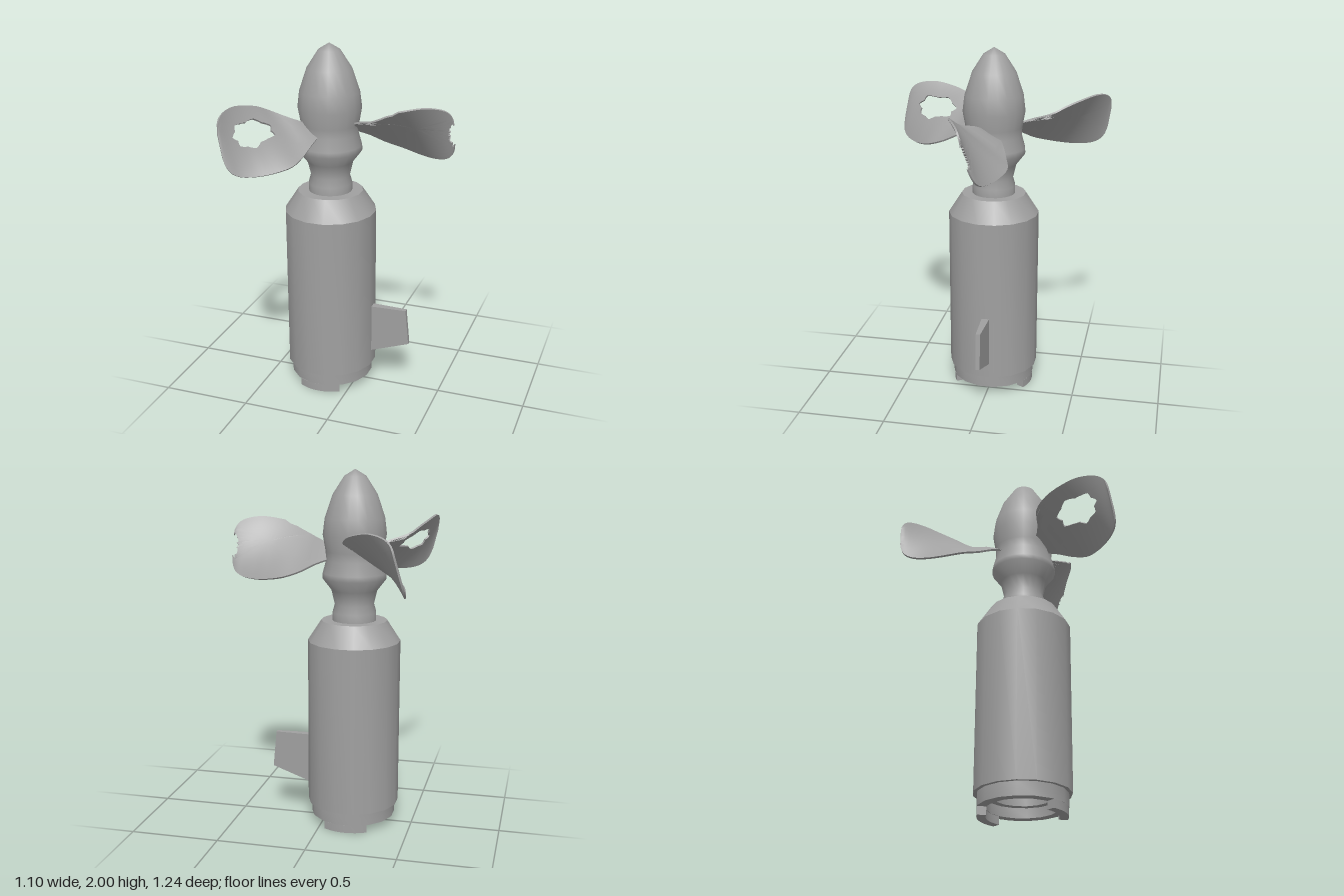
import * as THREE from 'three';
import { toCreasedNormals } from 'three/addons/utils/BufferGeometryUtils.js';

const material = new THREE.MeshStandardMaterial({ color: 0xa0a0a0 });
const JAG = [1, 0.8, 0.95, 0.76, 0.72, 1, 0.88];

function add(parent, name, geometry, crease = 0.5) {
  const mesh = new THREE.Mesh(toCreasedNormals(geometry, crease), material);
  mesh.name = name;
  parent.add(mesh);
  return mesh;
}

function lathe(profile, segments) {
  return new THREE.LatheGeometry(profile.map(([r, y]) => new THREE.Vector2(r, y)), segments);
}

// Blade cross-sections: radius, lower edge (z, y), upper edge (z, y)
const SECTIONS = [
  [0.13, -0.06, 1.515, 0.03, 1.57],
  [0.2, -0.09, 1.49, 0.07, 1.6],
  [0.28, -0.12, 1.45, 0.155, 1.64],
  [0.37, -0.142, 1.42, 0.165, 1.68],
  [0.48, -0.115, 1.4, 0.145, 1.708],
  [0.56, -0.085, 1.395, 0.118, 1.72],
  [0.63, -0.058, 1.403, 0.083, 1.713],
  [0.672, -0.04, 1.425, 0.058, 1.695],
  [0.693, -0.022, 1.46, 0.042, 1.667],
  [0.702, -0.003, 1.51, 0.03, 1.62],
];
const lowerEdge = new THREE.CatmullRomCurve3(SECTIONS.map(([u, z, y]) => new THREE.Vector3(u, y, z)));
const upperEdge = new THREE.CatmullRomCurve3(SECTIONS.map(([u, , , z, y]) => new THREE.Vector3(u, y, z)));

// Point on the twisted blade: s runs root to tip, t lower to upper edge, both -1..1
function bladePoint(s, t) {
  const k = THREE.MathUtils.clamp((s + 1) / 2, 0, 1);
  return lowerEdge.getPoint(k).lerp(upperEdge.getPoint(k), (t + 1) / 2);
}

function offsetPoint(s, t, h) {
  const e = 0.01, s0 = Math.max(s - e, -1), s1 = Math.min(s + e, 1);
  const ds = bladePoint(s1, t).sub(bladePoint(s0, t));
  const dt = bladePoint(s, t + e).sub(bladePoint(s, t - e));
  return bladePoint(s, t).addScaledVector(ds.cross(dt).normalize(), h);
}

// Chipped outline: a bite out of the tip and a nibbled upper edge
function chip(s, t, i) {
  if (s > 0.999 && Math.abs(t) < 0.99) {
    const depth = Math.sqrt(1 - t * t) * JAG[i % 7];
    return [s - 0.5 * depth, t * (1 - 0.5 * depth)];
  }
  if (t > 0.999 && Math.abs(s + 0.49) < 0.27) {
    t -= 0.17 * Math.sqrt(1 - ((s + 0.49) / 0.27) ** 2) * JAG[(i * 3) % 7];
  }
  return [s, t];
}

// Ragged radius of the hole, interpolated between jags
function holeRadius(i) {
  const k = Math.floor(i / 6);
  return THREE.MathUtils.lerp(JAG[k % 7], JAG[((k + 1) % 16) % 7], (i % 6) / 6);
}

// Thin shell lofted from an inner loop (a hole or a point) to the outer outline
function bladeGeometry(hole, chipped) {
  const N = 96, M = 8, half = 0.005, K = 2 * (M + 1);
  const positions = [], index = [];
  for (let i = 0; i < N; i++) {
    const a = (i / N) * Math.PI * 2, c = Math.cos(a), d = Math.sin(a);
    const m = Math.max(Math.abs(c), Math.abs(d));
    const outer = chipped ? chip(c / m, d / m, i) : [c / m, d / m];
    const r = hole ? holeRadius(i) : 0;
    const inner = [-0.06 + 0.35 * r * c, 0.2 + 0.43 * r * d];
    for (let k = 0; k < K; k++) {
      const top = k <= M, f = (top ? k : K - 1 - k) / M;
      const s = inner[0] + (outer[0] - inner[0]) * f;
      const t = inner[1] + (outer[1] - inner[1]) * f;
      positions.push(...offsetPoint(s, t, top ? half : -half).toArray());
      const next = (k + 1) % K, row = i * K, row2 = ((i + 1) % N) * K;
      index.push(row + k, row + next, row2 + next, row + k, row2 + next, row2 + k);
    }
  }
  const geometry = new THREE.BufferGeometry();
  geometry.setAttribute('position', new THREE.Float32BufferAttribute(positions, 3));
  geometry.setIndex(index);
  return geometry;
}

// Side fin, thinning towards its outer edge
function finGeometry() {
  const outline = new THREE.Shape([[0.23, 0.197], [0.475, 0.28], [0.455, 0.49], [0.23, 0.49]]
    .map(([x, y]) => new THREE.Vector2(x, y)));
  const geometry = new THREE.ExtrudeGeometry(outline, { depth: 2, bevelEnabled: false }).translate(0, 0, -1);
  const p = geometry.attributes.position;
  for (let i = 0; i < p.count; i++) {
    p.setZ(i, p.getZ(i) * THREE.MathUtils.mapLinear(p.getX(i), 0.25, 0.475, 0.022, 0.012));
  }
  return geometry;
}

export function createModel() {
  const model = new THREE.Group();
  model.name = 'propellerUnit';
  const axis = new THREE.Group();
  axis.name = 'assembly';
  axis.position.x = -0.158;
  model.add(axis);

  // Canister with a stepped socket underneath
  const body = add(axis, 'body', lathe([
    [0, 0.25], [0.15, 0.25], [0.15, 0.1], [0.187, 0.1], [0.187, 0.045], [0.238, 0.045],
    [0.238, 0.12], [0.258, 0.12], [0.258, 1.06], [0.183, 1.175], [0.1, 1.175],
  ], 16));
  body.rotation.y = Math.PI / 16;

  // Hub: neck, flared collar and pointed nose
  add(axis, 'hub', lathe([
    [0.122, 1.17], [0.122, 1.22], [0.109, 1.265], [0.128, 1.345], [0.178, 1.41],
    [0.176, 1.44], [0.157, 1.51], [0.16, 1.56], [0.176, 1.65], [0.165, 1.74],
    [0.123, 1.865], [0.06, 1.963], [0, 2],
  ], 20), 1.3);

  // Two locking tabs below the rim
  const spread = 0.54;
  for (const [name, mid] of [['frontTab', -Math.PI / 2], ['backTab', Math.PI / 2]]) {
    const arc = new THREE.Shape();
    arc.absarc(0, 0, 0.235, mid - spread, mid + spread, false);
    arc.absarc(0, 0, 0.188, mid + spread, mid - spread, true);
    const geometry = new THREE.ExtrudeGeometry(arc, { depth: 0.045, bevelEnabled: false, curveSegments: 4 });
    add(axis, name, geometry.rotateX(-Math.PI / 2));
  }

  add(axis, 'fin', finGeometry());

  // Three blades: one chipped, one whole, one holed
  const blades = [['chippedBlade', false, true], ['wholeBlade', false, false], ['holedBlade', true, false]];
  blades.forEach(([name, hole, chipped], i) => {
    add(axis, name, bladeGeometry(hole, chipped), 0.7).rotation.y = (i * Math.PI * 2) / 3;
  });
  return model;
}
